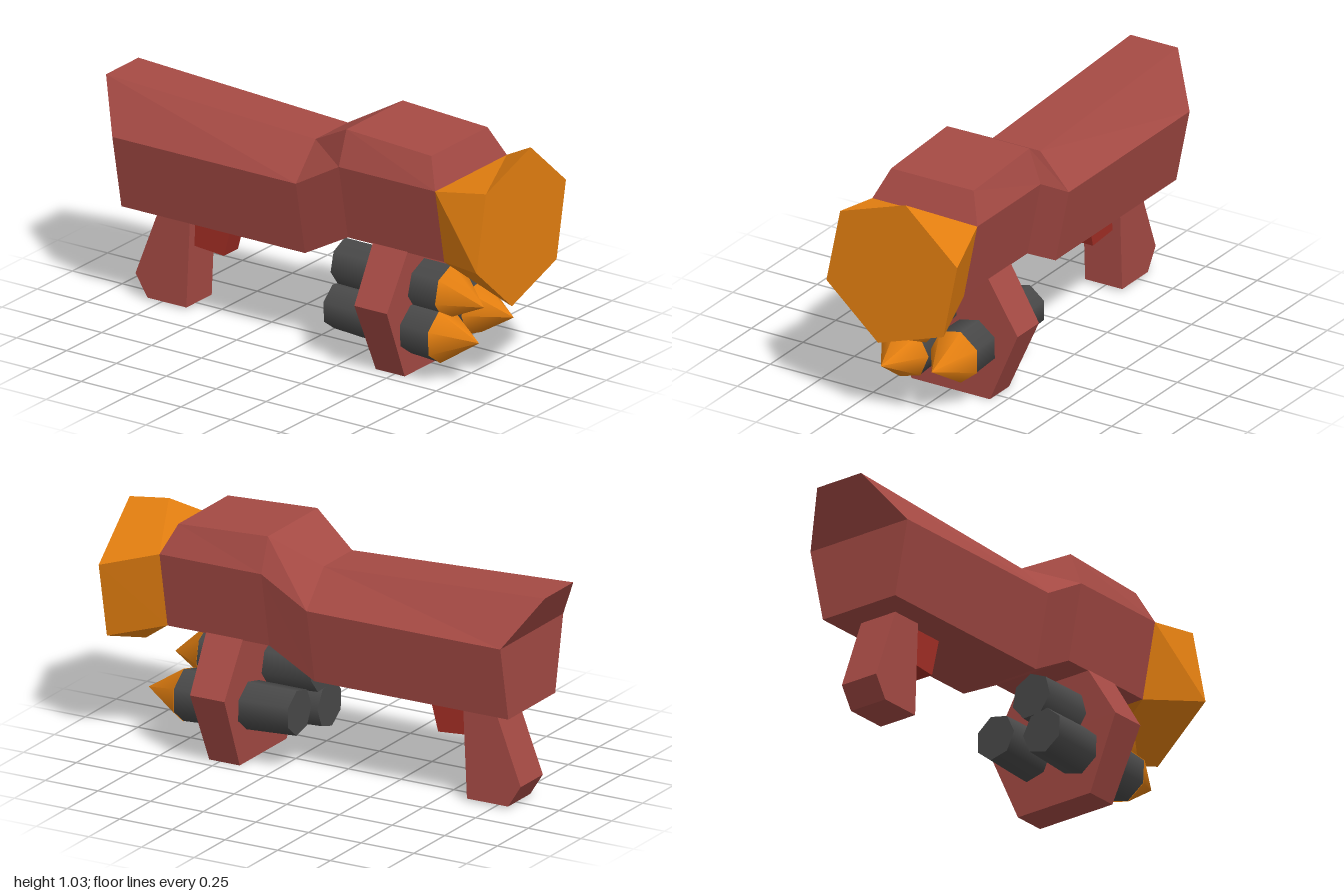
import * as THREE from 'three';

const material = (name, color) => {
  const m = new THREE.MeshStandardMaterial({ color });
  m.name = name;
  return m;
};

// Joins closed rings of [x, y, z] points running toward +x, with both ends capped
function loft(rings) {
  const pos = [];
  const tri = (a, b, c) => {
    const [A, B, C] = [a, b, c].map(p => new THREE.Vector3(...p));
    if (B.clone().sub(A).cross(C.clone().sub(A)).length() > 1e-7) pos.push(...a, ...b, ...c);
  };
  const quad = (a, b, c, d) => { tri(a, b, c); tri(a, c, d); };
  const n = rings[0].length;
  for (let s = 0; s < rings.length - 1; s++) {
    const R = rings[s], T = rings[s + 1];
    for (let i = 0; i < n; i++) {
      const j = (i + 1) % n;
      quad(R[i], R[j], T[j], T[i]);
    }
  }
  const first = rings[0], last = rings[rings.length - 1];
  for (let k = 0; k < n / 2 - 1; k++) {
    const ids = [(n - k) % n, k + 1, k + 2, n - 1 - k];
    quad(...ids.map(i => last[i]));
    quad(...ids.reverse().map(i => first[i]));
  }
  const g = new THREE.BufferGeometry();
  g.setAttribute('position', new THREE.Float32BufferAttribute(pos, 3));
  g.computeVertexNormals();
  return g;
}

// Mirrored six-point ring from bottom, middle and top [x, y, halfWidth]
const hexRing = (b, m, t) => [
  [b[0], b[1], b[2]], [b[0], b[1], -b[2]], [m[0], m[1], -m[2]],
  [t[0], t[1], -t[2]], [t[0], t[1], t[2]], [m[0], m[1], m[2]],
];

// Flat side profile given thickness across z
function slab(points, width) {
  const shape = new THREE.Shape(points.map(p => new THREE.Vector2(...p)));
  const g = new THREE.ExtrudeGeometry(shape, { depth: width, bevelEnabled: false });
  return g.translate(0, 0, -width / 2);
}

export function createModel() {
  const model = new THREE.Group();
  model.name = 'rocketLauncher';
  const red = material('dullRed', 0xa54a44);
  const orange = material('orange', 0xe47f10);
  const grey = material('darkGrey', 0x494949);
  const triggerRed = material('triggerRed', 0xa02d24);

  const add = (name, geometry, mat, parent = model) => {
    const mesh = new THREE.Mesh(geometry, mat);
    mesh.name = name;
    parent.add(mesh);
    return mesh;
  };

  // Main body with a raised front half
  add('body', loft([
    hexRing([-0.87, 0.43, 0.19], [-0.87, 0.755, 0.255], [-1, 0.957, 0.115]),
    hexRing([0.05, 0.43, 0.19], [0.05, 0.755, 0.255], [0.05, 0.907, 0.115]),
    hexRing([0.265, 0.547, 0.19], [0.265, 0.877, 0.255], [0.265, 1.025, 0.2]),
    hexRing([0.748, 0.547, 0.19], [0.748, 0.877, 0.255], [0.69, 1.003, 0.2]),
  ]), red);

  // Muzzle flaring from the four body corners to a twisted hexagon
  const A = [0.748, 0.877, 0.255], B = [0.748, 0.877, -0.255];
  const C = [0.748, 0.547, -0.19], D = [0.748, 0.547, 0.19];
  const mouth = [];
  for (let i = 0; i < 6; i++) {
    const a = THREE.MathUtils.degToRad(138.5 + i * 60);
    mouth.push([1, 0.698 + 0.335 * Math.sin(a), -0.335 * Math.cos(a)]);
  }
  add('muzzle', loft([[A, D, D, C, B, B], mouth]), orange);

  // Hexagonal bracket holding the rockets
  add('rocketBracket', loft([
    hexRing([0.405, 0, 0.19], [0.396, 0.32, 0.33], [0.39, 0.56, 0.185]),
    hexRing([0.55, 0, 0.19], [0.559, 0.32, 0.33], [0.565, 0.56, 0.185]),
  ]), red);

  // Grip and trigger
  add('grip', slab([[-0.81, 0.01], [-0.615, 0.01], [-0.595, 0.45], [-0.737, 0.45], [-0.87, 0.105]], 0.18), red);
  add('trigger', slab([[-0.61, 0.272], [-0.455, 0.26], [-0.405, 0.45], [-0.61, 0.45]], 0.1), triggerRed);

  // Three drooping rockets: front centre, tip height, tip x, roll
  const rockets = [
    { y: 0.37, z: 0.073, tipY: 0.335, tipX: 0.865, roll: 0.2 },
    { y: 0.195, z: 0.13, tipY: 0.2, tipX: 0.88, roll: 0.5 },
    { y: 0.238, z: -0.117, tipY: 0.235, tipX: 0.88, roll: 0.9 },
  ];
  const front = 0.7, length = 0.535;
  // Turns an upright part to +x and slants it in y
  const lay = (g, roll, slope) => g.rotateY(roll).rotateZ(-Math.PI / 2)
    .applyMatrix4(new THREE.Matrix4().set(1, 0, 0, 0, slope, 1, 0, 0, 0, 0, 1, 0, 0, 0, 0, 1));
  rockets.forEach((r, i) => {
    const rocket = new THREE.Group();
    rocket.name = 'rocket' + (i + 1);
    const tube = new THREE.CylinderGeometry(0.115, 0.1, length, 7).translate(0, -length / 2, 0);
    const h = r.tipX - front;
    const cone = new THREE.ConeGeometry(0.118, h, 7).translate(0, h / 2, 0);
    add('rocketTube', lay(tube, r.roll, -0.03), grey, rocket);
    add('rocketTip', lay(cone, r.roll, (r.tipY - r.y) / h), orange, rocket);
    rocket.position.set(front, r.y, r.z);
    model.add(rocket);
  });

  return model;
}
